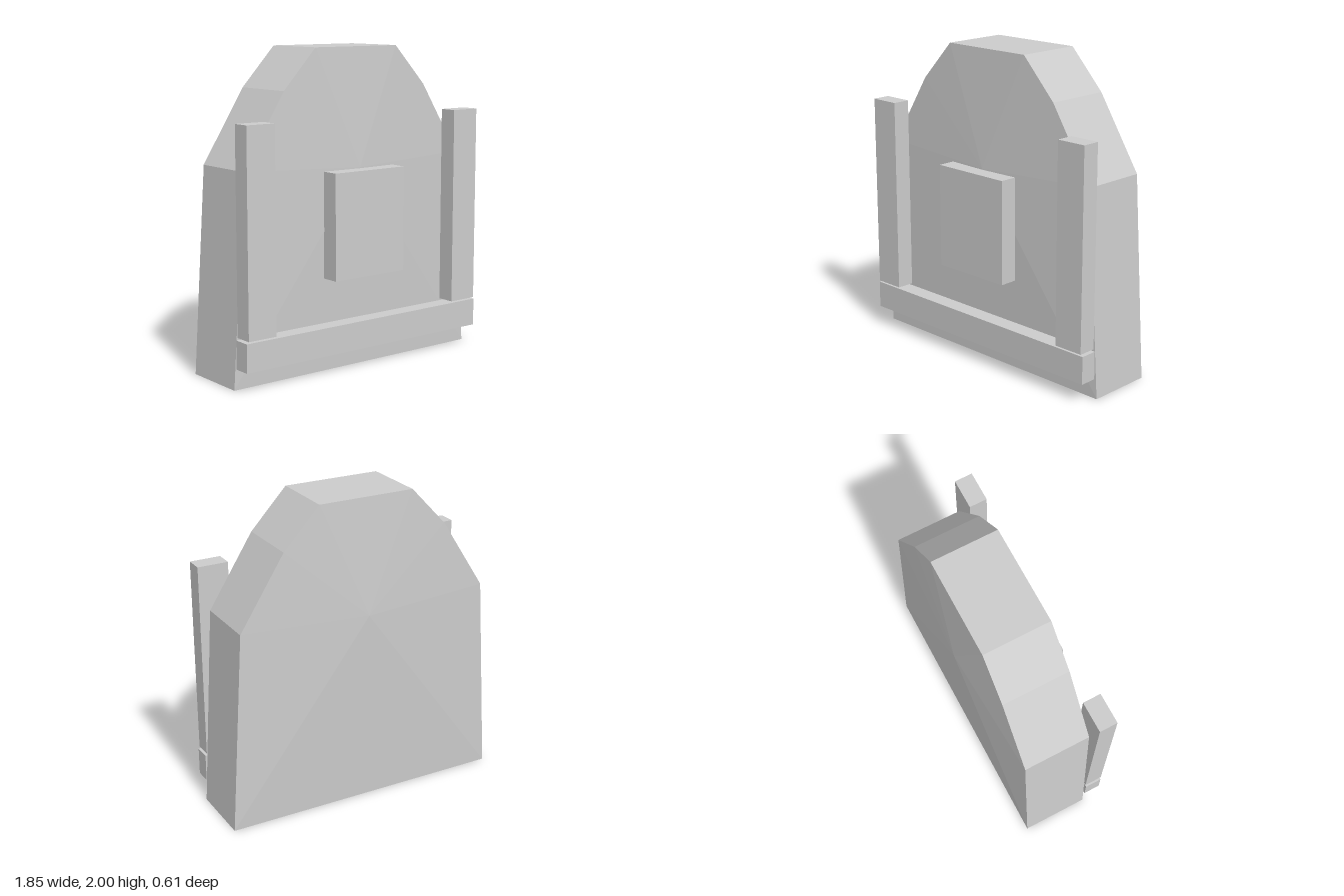
import * as THREE from 'three';

const material = new THREE.MeshStandardMaterial({ color: 0xcccccc, flatShading: true });

// Slab with a many-sided outline; both faces rise to a shallow point
function slabGeometry(half, zFront, zBack, apexY, apexFront, apexBack) {
  const mirrored = half.map(([x, y]) => [-x, y]).reverse();
  const ring = [...half, ...mirrored]; // counter-clockwise seen from the front
  const pos = [];
  ring.forEach(([ax, ay], i) => {
    const [bx, by] = ring[(i + 1) % ring.length];
    // front facet, back facet, then the two halves of the rim
    pos.push(ax, ay, zFront, bx, by, zFront, 0, apexY, apexFront);
    pos.push(bx, by, zBack, ax, ay, zBack, 0, apexY, apexBack);
    pos.push(ax, ay, zFront, ax, ay, zBack, bx, by, zBack);
    pos.push(ax, ay, zFront, bx, by, zBack, bx, by, zFront);
  });
  const geometry = new THREE.BufferGeometry();
  geometry.setAttribute('position', new THREE.Float32BufferAttribute(pos, 3));
  geometry.computeVertexNormals();
  return geometry;
}

// Box given by its limits on each axis
function block(name, [x0, x1], [y0, y1], [z0, z1]) {
  const mesh = new THREE.Mesh(new THREE.BoxGeometry(x1 - x0, y1 - y0, z1 - z0), material);
  mesh.position.set((x0 + x1) / 2, (y0 + y1) / 2, (z0 + z1) / 2);
  mesh.name = name;
  return mesh;
}

export function createModel() {
  const group = new THREE.Group();
  group.name = 'framedSlab';

  // Main slab, tapering upward to a chamfered top
  const outline = [[0.925, 0], [0.84, 1.295], [0.55, 1.75], [0.315, 2]];
  const slab = new THREE.Mesh(slabGeometry(outline, 0.165, -0.265, 1.26, 0.203, -0.305), material);
  slab.name = 'slab';
  group.add(slab);

  // Upright posts on both sides of the front
  group.add(block('leftPost', [0.705, 0.903], [0.32, 1.58], [0.177, 0.293]));
  group.add(block('rightPost', [-0.905, -0.707], [0.32, 1.58], [0.177, 0.293]));

  // Rail below the posts
  group.add(block('bottomRail', [-0.915, 0.913], [0.13, 0.307], [0.177, 0.287]));

  // Raised panel in the middle
  group.add(block('centrePanel', [-0.273, 0.27], [0.592, 1.253], [0.19, 0.305]));

  return group;
}
